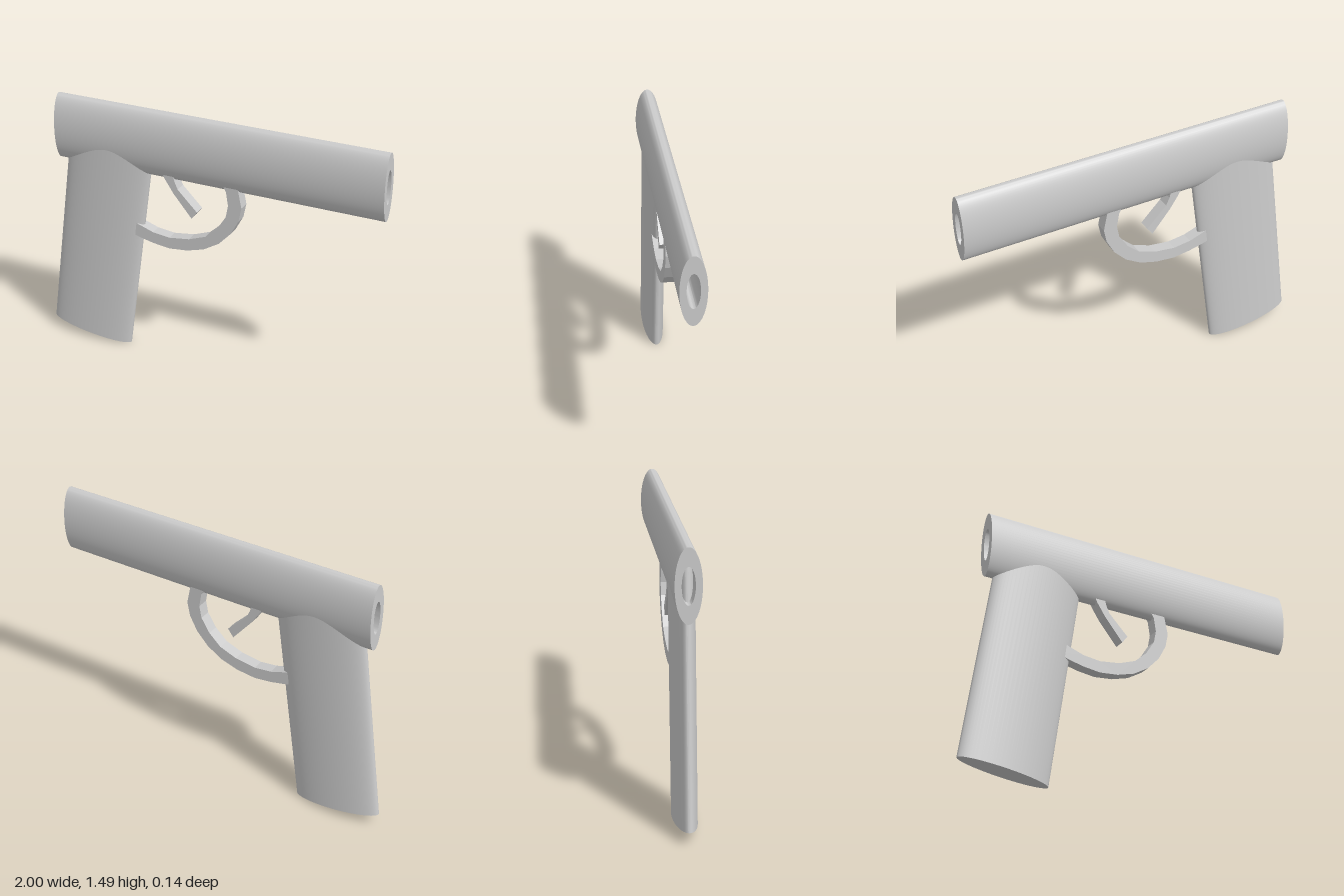
import * as THREE from 'three';
import { toCreasedNormals } from 'three/addons/utils/BufferGeometryUtils.js';

export function createModel() {
  const model = new THREE.Group();
  const material = new THREE.MeshStandardMaterial({ color: 0xcccccc });

  const add = (name, geometry) => {
    const mesh = new THREE.Mesh(geometry, material);
    mesh.name = name;
    model.add(mesh);
    return mesh;
  };

  // Barrel: a hollow tube squashed to an ellipse, bored right through
  const bore = 0.5, length = 1.9;
  const profile = [[bore, 0], [1, 0], [1, length], [bore, length], [bore, 0]]
    .map(([r, y]) => new THREE.Vector2(r, y));
  const tube = new THREE.LatheGeometry(profile, 64);
  tube.scale(0.19, 1, 0.0675);
  tube.rotateZ(-Math.PI / 2);
  add('barrel', toCreasedNormals(tube, 0.7)).position.set(-0.9, 1.31, 0);

  // Grip: a leaning elliptical cylinder whose top sits inside the barrel
  const gripLength = 1.32;
  const handle = new THREE.CylinderGeometry(1, 1, gripLength, 64);
  handle.translate(0, gripLength / 2, 0);
  handle.scale(0.255, 1, 0.0625);
  const grip = add('grip', toCreasedNormals(handle, 0.7));
  grip.position.set(-0.747, 0.04, 0);
  grip.rotation.z = -0.136;

  // Flat bars with a faceted outline, centred on z = 0
  const bar = (name, outline) => {
    const depth = 0.066;
    const shape = new THREE.Shape(outline.map(([x, y]) => new THREE.Vector2(x, y)));
    const geometry = new THREE.ExtrudeGeometry(shape, { depth, bevelEnabled: false });
    geometry.translate(0, 0, -depth / 2);
    return add(name, geometry);
  };

  // Trigger guard: outer edge from grip to barrel, then the inner edge back
  bar('triggerGuard', [
    [-0.48, 0.76], [-0.41, 0.735], [-0.32, 0.715], [-0.22, 0.703], [-0.11, 0.715],
    [-0.01, 0.745], [0.08, 0.8], [0.15, 0.875], [0.195, 0.96], [0.211, 1.04],
    [0.19, 1.14], [0.16, 1.19],
    [0.09, 1.17], [0.12, 1.12], [0.133, 1.04], [0.12, 0.97], [0.07, 0.89],
    [0.0, 0.825], [-0.1, 0.787], [-0.22, 0.77], [-0.32, 0.782], [-0.38, 0.802], [-0.46, 0.83],
  ]);

  // Trigger: a short bent lever
  bar('trigger', [
    [-0.27, 1.18], [-0.24, 1.12], [-0.19, 1.045], [-0.083, 0.917],
    [-0.05, 0.96], [-0.165, 1.075], [-0.185, 1.12], [-0.2, 1.18],
  ]);

  return model;
}
